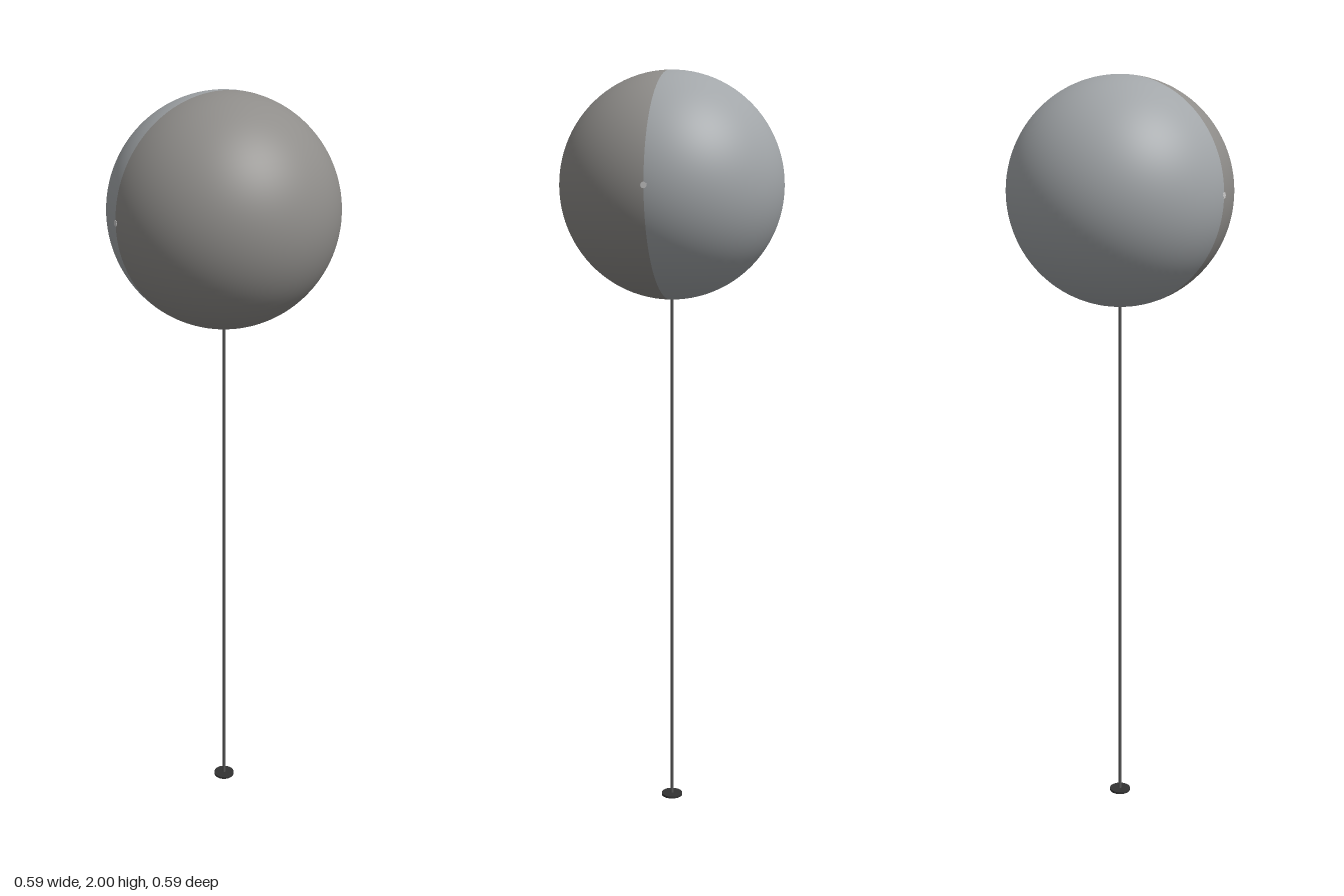
import * as THREE from 'three';

const RADIUS = 0.295;
const CENTER_Y = 2 - RADIUS;

function addPart(group, name, geometry, color) {
  const mesh = new THREE.Mesh(geometry, new THREE.MeshStandardMaterial({ color, side: THREE.DoubleSide }));
  mesh.name = name;
  group.add(mesh);
  return mesh;
}

export function createModel() {
  const model = new THREE.Group();
  model.name = 'ballOnStick';

  // Ball: two half spheres meeting at z = 0, poles on the x axis
  const ball = new THREE.Group();
  ball.name = 'ball';
  ball.position.y = CENTER_Y;
  model.add(ball);
  for (const [name, start, color] of [['frontHalf', 0, 0x8f8d8a], ['backHalf', Math.PI, 0xa2a6a9]]) {
    const half = new THREE.SphereGeometry(RADIUS, 48, 64, start, Math.PI).rotateZ(Math.PI / 2);
    addPart(ball, name, half, color);
  }

  // Tiny pale pins at the two side poles
  for (const side of [1, -1]) {
    const pin = addPart(ball, side > 0 ? 'leftPin' : 'rightPin',
      new THREE.CylinderGeometry(0.008, 0.008, 0.01, 12).rotateZ(Math.PI / 2), 0xcccccc);
    pin.position.x = side * (RADIUS - 0.004);
  }

  // Thin stick up to the underside of the ball
  const top = CENTER_Y - RADIUS + 0.02;
  addPart(model, 'stick', new THREE.CylinderGeometry(0.004, 0.004, top, 16), 0x555555).position.y = top / 2;

  // Small flat foot
  addPart(model, 'foot', new THREE.CylinderGeometry(0.029, 0.029, 0.006, 32), 0x333333).position.y = 0.003;

  return model;
}
